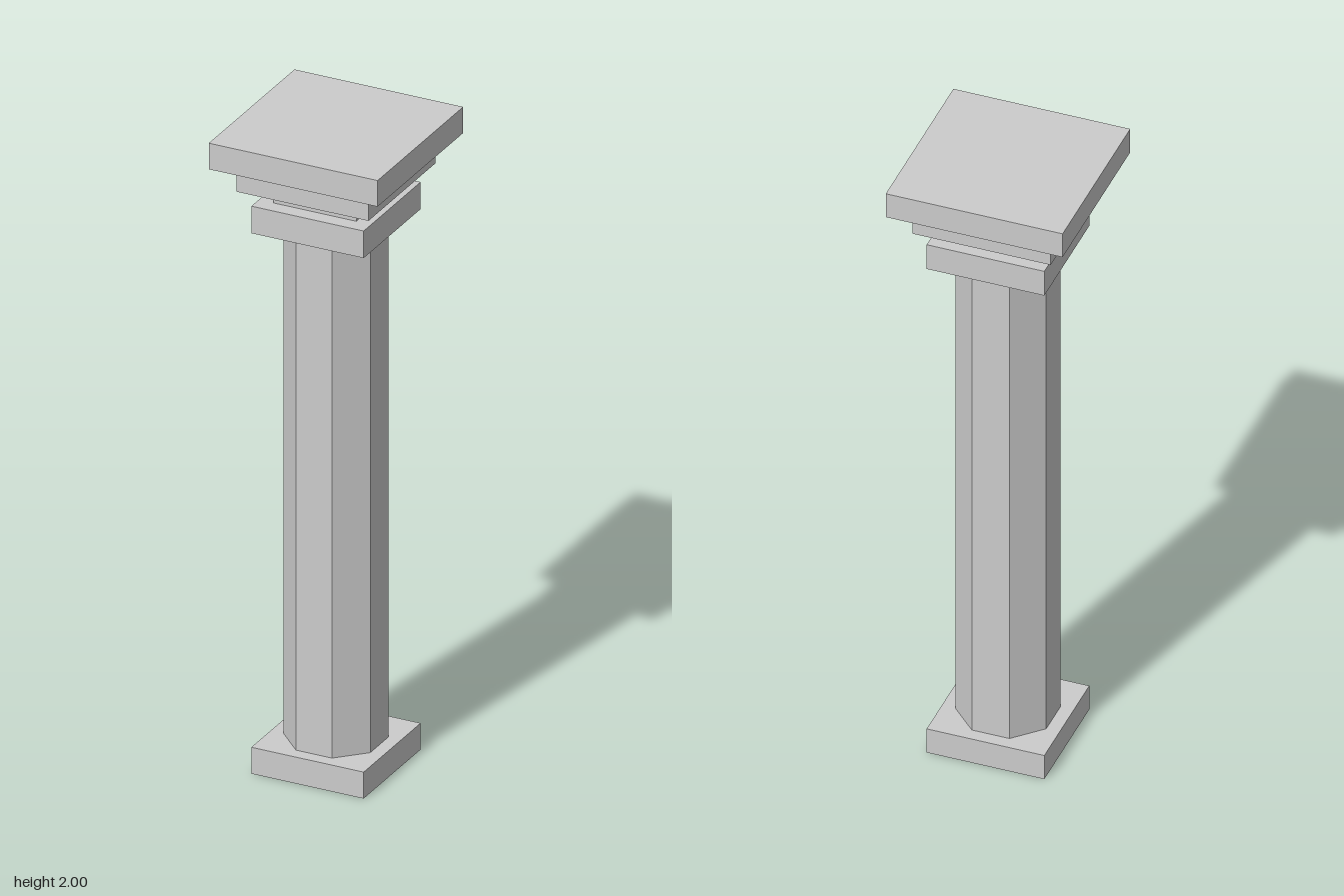
import * as THREE from 'three';

export function createModel() {
  const column = new THREE.Group();
  column.name = 'column';
  const material = new THREE.MeshStandardMaterial({ color: 0xcccccc, flatShading: true });

  // Adds a part spanning the heights y0 to y1
  const add = (name, geometry, y0, y1) => {
    const mesh = new THREE.Mesh(geometry, material);
    mesh.name = name;
    mesh.position.y = (y0 + y1) / 2;
    column.add(mesh);
  };

  // Square slabs: name, full width, bottom, top
  const slabs = [
    ['base', 0.356, 0, 0.083],
    ['collar', 0.356, 1.698, 1.783],
    ['neck', 0.262, 1.783, 1.835],
    ['lowerCapital', 0.418, 1.835, 1.918],
    ['upperCapital', 0.535, 1.918, 2],
  ];
  for (const [name, width, y0, y1] of slabs) {
    add(name, new THREE.BoxGeometry(width, y1 - y0, width), y0, y1);
  }

  // Octagonal shaft with flat faces to the front and sides
  const [y0, y1] = [0.083, 1.698];
  const radius = 0.1375 / Math.cos(Math.PI / 8);
  const shaft = new THREE.CylinderGeometry(radius, radius, y1 - y0, 8);
  shaft.rotateY(Math.PI / 8);
  add('shaft', shaft, y0, y1);

  return column;
}
